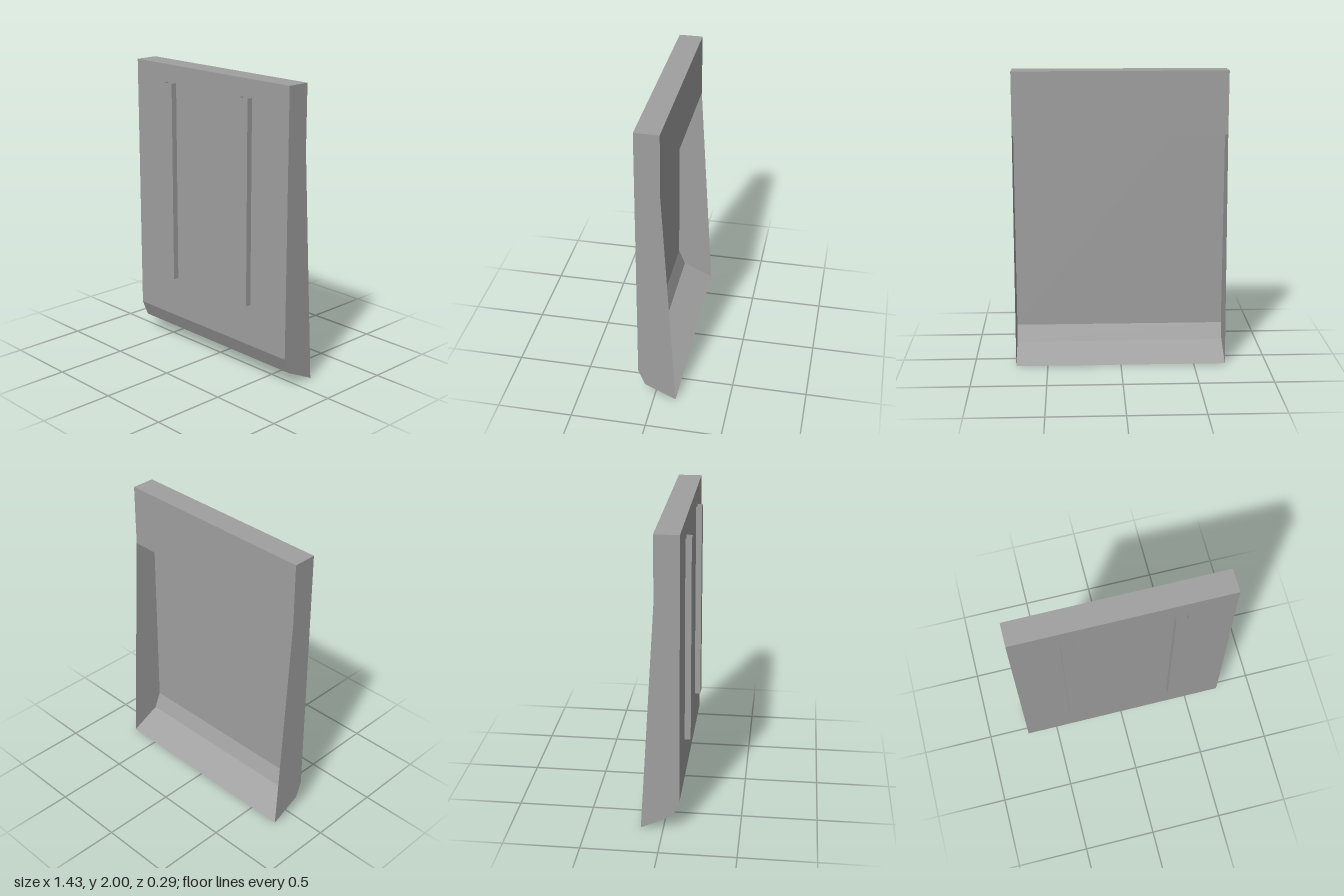
import * as THREE from 'three';

const HALF_WIDTH = 0.716;

// Faceted open sheet from matching rails of [x, y, z] points
function sheet(railA, railB) {
  const pos = [];
  for (let i = 0; i < railA.length - 1; i++) {
    const a = railA[i], b = railB[i], c = railB[i + 1], d = railA[i + 1];
    pos.push(...a, ...b, ...c, ...a, ...c, ...d);
  }
  const geo = new THREE.BufferGeometry();
  geo.setAttribute('position', new THREE.Float32BufferAttribute(pos, 3));
  geo.computeVertexNormals();
  return geo;
}

export function createModel() {
  const group = new THREE.Group();
  const grey = new THREE.MeshStandardMaterial({ color: 0xa0a0a0, side: THREE.DoubleSide });
  grey.name = 'plain grey';

  const add = (name, geometry) => {
    const mesh = new THREE.Mesh(geometry, grey);
    mesh.name = name;
    group.add(mesh);
    return mesh;
  };

  // Side outline as [z, y]: upper back, top, front, chamfer and bottom lip
  const profile = [
    [-0.052, 1.575], [-0.052, 2], [0.107, 2],
    [0.107, 0.21], [0.062, 0.1], [-0.147, 0],
  ];

  // Wrapped shell, open at the back below the upper panel
  const rail = (x) => profile.map(([z, y]) => [x, y, z]);
  add('shell', sheet(rail(-HALF_WIDTH), rail(HALF_WIDTH)));

  // Thin side walls, with the tapered rear edge
  const outline = new THREE.Shape(profile.map(([z, y]) => new THREE.Vector2(z, y)));
  for (const [name, s] of [['leftWall', 1], ['rightWall', -1]]) {
    const geo = new THREE.ShapeGeometry(outline);
    geo.rotateY(-Math.PI / 2); // outline z runs along +z, facing -x
    if (s > 0) geo.scale(-1, 1, -1).rotateY(0).scale(1, 1, -1);
    if (s > 0) { // restore outward winding after mirroring
      const idx = geo.index.array;
      for (let i = 0; i < idx.length; i += 3) [idx[i], idx[i + 1]] = [idx[i + 1], idx[i]];
      geo.computeVertexNormals();
    }
    add(name, geo).position.x = s * HALF_WIDTH;
  }

  // Raised vertical rails: channels open at both ends
  const channel = [[-0.04, 0.107], [-0.04, 0.147], [0.04, 0.147], [0.04, 0.107]];
  const end = (y) => channel.map(([x, z]) => [x, y, z]);
  for (const [name, s] of [['leftRail', 1], ['rightRail', -1]]) {
    add(name, sheet(end(1.882), end(0.498))).position.x = s * 0.358;
  }

  return group;
}
